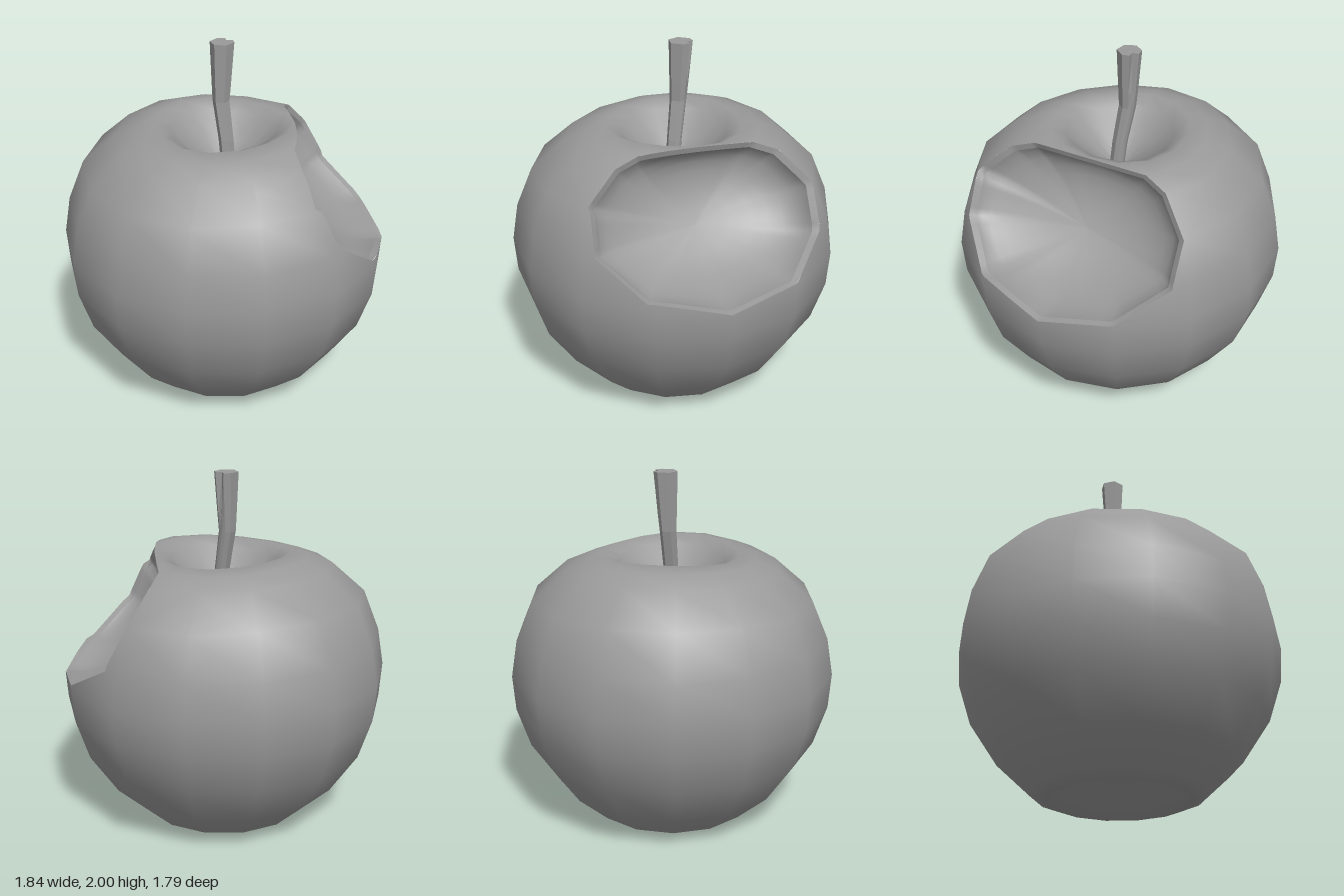
import * as THREE from 'three';

const dark = () => new THREE.MeshStandardMaterial({ color: 0x9a9a9a });
const V2 = (x, y) => new THREE.Vector2(x, y);

// Bite frame: u to the side, v up along the bite, w out of the bite
const W = new THREE.Vector3(0.566, 0.6, 0.566).normalize();
const U = new THREE.Vector3(1, 0, -1).normalize();
const toWorld = new THREE.Matrix4().makeBasis(U, W.clone().cross(U), W);

// Bite outline in (u, v), counter-clockwise and convex
const outline = [
  [-0.677, 0.838], [-0.697, 0.577], [-0.515, 0.285], [-0.115, 0.122], [0.295, 0.193], [0.545, 0.44],
  [0.56, 0.7], [0.415, 0.912], [0.288, 0.983], [-0.057, 1.01], [-0.365, 1.034], [-0.502, 0.992],
].map(([u, v]) => V2(u, v));
const centre = V2(-0.06, 0.62);

// Deepest point of the hollow, and the oval its inner rings settle into
const apex = new THREE.Vector3(-0.05, 0.65, 0.95);
const oval = V2(0.6, 0.43);

// Fruit profile from the lower dimple up to the stem hollow
const profile = [
  [0, 0.18], [0.16, 0.13], [0.29, 0.045], [0.4, 0.003], [0.48, 0.035], [0.67, 0.21], [0.83, 0.45],
  [0.905, 0.68], [0.92, 0.88], [0.885, 1.09], [0.795, 1.315], [0.61, 1.478], [0.48, 1.53],
  [0.38, 1.547], [0.3, 1.508], [0.18, 1.39], [0, 1.27],
].map(([r, y]) => V2(r, y));

// Lathe body whose shoulders sit a little higher at front and back than at the sides
function makeWhole() {
  const g = new THREE.LatheGeometry(profile, 14, Math.PI / 2);
  const P = g.attributes.position;
  for (let i = 0; i < P.count; i++) {
    const x = P.getX(i), y = P.getY(i), z = P.getZ(i), r = Math.hypot(x, z);
    if (y > 1.2 && r > 0.1) P.setY(i, y + 0.015 * (z * z - x * x) / (r * r));
  }
  return g.applyMatrix4(toWorld.clone().invert());
}

function buildGeometry(positions, normals) {
  const g = new THREE.BufferGeometry();
  g.setAttribute('position', new THREE.Float32BufferAttribute(positions, 3));
  if (normals) g.setAttribute('normal', new THREE.Float32BufferAttribute(normals, 3));
  return g;
}

// Cut a polygon by an outline edge; returns the parts [inside, outside]
function split(poly, a, b) {
  const side = ({ p }) => (b.x - a.x) * (p.y - a.y) - (b.y - a.y) * (p.x - a.x);
  const inside = [], outside = [];
  poly.forEach((c, i) => {
    const d = poly[(i + 1) % poly.length], sc = side(c), sd = side(d);
    (sc >= 0 ? inside : outside).push(c);
    if (sc >= 0 !== sd >= 0) {
      const t = sc / (sc - sd);
      const m = { p: c.p.clone().lerp(d.p, t), n: c.n.clone().lerp(d.n, t).normalize() };
      inside.push(m);
      outside.push(m);
    }
  });
  return [inside, outside];
}

// Remove the bite outline from the skin
function cutSkin(whole) {
  const g = whole.toNonIndexed(), P = g.attributes.position, N = g.attributes.normal;
  const pos = [], nor = [];
  const emit = (poly) => {
    for (let i = 1; i + 1 < poly.length; i++) {
      for (const c of [poly[0], poly[i], poly[i + 1]]) {
        pos.push(...c.p.toArray());
        nor.push(...c.n.toArray());
      }
    }
  };
  for (let i = 0; i < P.count; i += 3) {
    let poly = [0, 1, 2].map((k) => ({
      p: new THREE.Vector3().fromBufferAttribute(P, i + k),
      n: new THREE.Vector3().fromBufferAttribute(N, i + k),
    }));
    const face = new THREE.Triangle(...poly.map((c) => c.p));
    const near = face.getMidpoint(new THREE.Vector3()).z > 0.9;
    if (!near || face.getNormal(new THREE.Vector3()).z <= 0) {
      emit(poly);
      continue;
    }
    outline.forEach((a, k) => {
      if (poly.length < 3) return;
      const [inside, outside] = split(poly, a, outline[(k + 1) % outline.length]);
      emit(outside);
      poly = inside;
    });
  }
  return buildGeometry(pos, nor);
}

// Skin over closed rings of points, last ring may collapse to one point
function loft(rings) {
  const n = rings[0].length, index = [];
  for (let j = 0; j + 1 < rings.length; j++) {
    for (let i = 0; i < n; i++) {
      const a = j * n + i, b = j * n + ((i + 1) % n);
      index.push(a, b, b + n, a, b + n, a + n);
    }
  }
  const g = buildGeometry(rings.flat().flatMap((p) => p.toArray()));
  g.setIndex(index);
  g.computeVertexNormals();
  return g;
}

// Rim band and scooped hollow, fitted to the skin along the outline
function makeBite(whole) {
  const target = new THREE.Mesh(whole, dark());
  const ray = new THREE.Raycaster();
  const rim = [];
  outline.forEach((a, k) => {
    const b = outline[(k + 1) % outline.length];
    for (let s = 0; s < 6; s++) {
      const q = a.clone().lerp(b, s / 6);
      ray.set(new THREE.Vector3(q.x, q.y, 3), new THREE.Vector3(0, 0, -1));
      const hit = ray.intersectObject(target)[0];
      rim.push(new THREE.Vector3(q.x, q.y, hit ? hit.point.z : 1.15));
    }
  });
  const ring = (t) => rim.map((p) => {
    const s = Math.sin(t), c = 0.95 * Math.cos(t);
    const d = V2(p.x - centre.x, p.y - centre.y);
    const round = d.clone().divide(oval).normalize().multiply(oval);
    d.lerp(round, Math.min(1, 1.5 * s)).multiplyScalar(c);
    return new THREE.Vector3(
      THREE.MathUtils.lerp(centre.x, apex.x, s) + d.x,
      THREE.MathUtils.lerp(centre.y, apex.y, s) + d.y,
      THREE.MathUtils.lerp(p.z - 0.025, apex.z, s));
  });
  const scoop = [];
  for (let j = 0; j <= 8; j++) scoop.push(ring((j / 8) * Math.PI / 2));
  return [loft([rim, scoop[0]]), loft(scoop)];
}

// Six-sided bent stem, with a split in one corner near the top
function makeStem() {
  const angles = [0, 24, 60, 120, 180, 240, 300, 336];
  const sections = [ // y, x, z, radius, corner dent
    [1.2, 0, 0.035, 0.04, 1], [1.45, 0.006, 0.005, 0.042, 1], [1.67, 0.013, -0.036, 0.047, 1],
    [1.76, 0.017, -0.037, 0.053, 0.9], [2, 0.026, -0.039, 0.067, 0.55],
  ];
  const rings = sections.map(([y, x, z, r, dent]) => angles.map((deg, i) => {
    const a = THREE.MathUtils.degToRad(deg);
    const k = i === 0 ? r * dent : r;
    return new THREE.Vector3(x + k * Math.cos(a), y, z - k * Math.sin(a));
  }));
  const [y, x, z] = sections[sections.length - 1];
  rings.push(angles.map(() => new THREE.Vector3(x, y, z)));
  return loft(rings);
}

export function createModel() {
  const model = new THREE.Group();
  const add = (name, geometry, material = dark()) => {
    const mesh = new THREE.Mesh(geometry, material);
    mesh.name = name;
    model.add(mesh);
  };

  const whole = makeWhole();
  const [rim, hollow] = makeBite(whole);
  add('skin', cutSkin(whole).applyMatrix4(toWorld));
  add('biteRim', rim.applyMatrix4(toWorld));
  add('biteHollow', hollow.applyMatrix4(toWorld));

  const bark = dark();
  bark.flatShading = true;
  add('stem', makeStem(), bark);
  return model;
}
